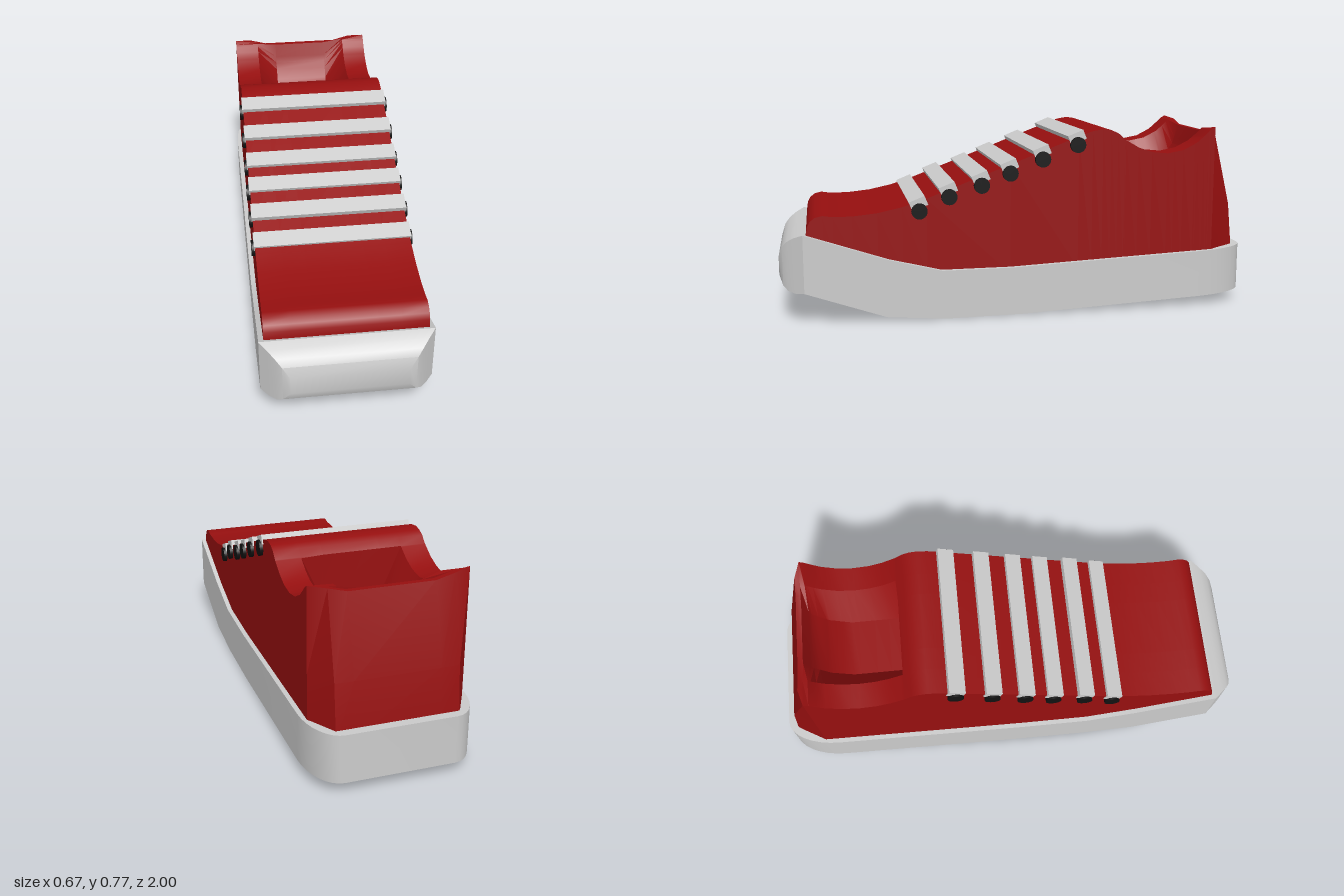
import * as THREE from 'three';
import { toCreasedNormals } from 'three/addons/utils/BufferGeometryUtils.js';

const grey = new THREE.MeshStandardMaterial({ color: 0xcccccc });
const red = new THREE.MeshStandardMaterial({ color: 0x960f0f, side: THREE.DoubleSide });
const black = new THREE.MeshStandardMaterial({ color: 0x111111 });

// Skin a list of equal-length closed rings, with optional flat end caps
function loft(rings, caps = true) {
  const pos = [];
  const tri = (a, b, c) => pos.push(...a, ...b, ...c);
  const n = rings[0].length;
  for (let r = 0; r < rings.length - 1; r++) {
    for (let i = 0; i < n; i++) {
      const j = (i + 1) % n, a = rings[r], b = rings[r + 1];
      tri(a[i], a[j], b[j]);
      tri(a[i], b[j], b[i]);
    }
  }
  if (caps) {
    const first = rings[0], last = rings[rings.length - 1];
    for (let i = 1; i < n - 1; i++) {
      tri(first[0], first[i + 1], first[i]);
      tri(last[0], last[i], last[i + 1]);
    }
  }
  const g = new THREE.BufferGeometry();
  g.setAttribute('position', new THREE.Float32BufferAttribute(pos, 3));
  return toCreasedNormals(g, 0.65);
}

// Piecewise linear lookup in [z, value] points sorted by z
function lookup(pts, z) {
  if (z <= pts[0][0]) return pts[0][1];
  for (let i = 1; i < pts.length; i++) {
    const [z0, v0] = pts[i - 1], [z1, v1] = pts[i];
    if (z <= z1) return v0 + (v1 - v0) * (z - z0) / (z1 - z0);
  }
  return pts[pts.length - 1][1];
}

const stations = (...lists) =>
  [...new Set(lists.flat().map((p) => p[0]))].sort((a, b) => a - b);

// Sole: top edge, bottom edge and half width along its length
const soleTop = [[-1, 0.25], [0.05, 0.205], [0.34, 0.205], [0.56, 0.26], [0.9, 0.375],
  [0.935, 0.36], [0.965, 0.34], [0.985, 0.315], [1, 0.27]];
const soleBottom = [[-1, 0.05], [0, 0.003], [0.33, 0], [0.57, 0.02], [0.9, 0.135],
  [0.935, 0.13], [0.965, 0.137], [0.985, 0.155], [1, 0.195]];
const soleWidth = [[0.9, 0.335], [0.935, 0.305], [0.965, 0.278], [0.985, 0.255], [1, 0.225]];
for (let i = 0; i <= 8; i++) {
  const a = (i / 8) * Math.PI / 2;
  soleWidth.splice(i, 0, [-0.78 - 0.22 * Math.cos(a), 0.22 + 0.115 * Math.sin(a)]);
}

function soleGeometry() {
  return loft(stations(soleTop, soleBottom, soleWidth).map((z) => {
    const w = lookup(soleWidth, z), t = lookup(soleTop, z), b = lookup(soleBottom, z);
    return [[-w, b, z], [w, b, z], [w, t, z], [-w, t, z]];
  }));
}

// Upper: top line, with the foot opening sunk into the middle columns
const topLine = [[-0.84, 0.775], [-0.82, 0.763], [-0.79, 0.735], [-0.76, 0.71], [-0.7, 0.68],
  [-0.63, 0.667], [-0.56, 0.674], [-0.5, 0.695], [-0.44, 0.73], [-0.41, 0.757], [-0.38, 0.77],
  [-0.345, 0.775], [-0.3, 0.768], [-0.24, 0.747], [0.05, 0.637], [0.4, 0.505], [0.5, 0.473],
  [0.6, 0.452], [0.7, 0.442], [0.78, 0.442], [0.82, 0.448], [0.85, 0.441], [0.87, 0.425],
  [0.882, 0.402], [0.887, 0.37]];
const floorLine = [[-0.84, 0.745], [-0.81, 0.66], [-0.75, 0.58], [-0.66, 0.53], [-0.445, 0.53], [-0.44, 0.73]];

function upperGeometry() {
  const cols = [0.315, 0.21, 0.12, -0.12, -0.21, -0.315];
  return loft(stations(topLine, floorLine).map((z) => {
    const base = lookup(soleTop, z) - 0.03, top = lookup(topLine, z);
    const sunk = z < -0.44 ? lookup(floorLine, z) : top;
    const edge = z < -0.83 ? top - 0.015 : top;
    const h = [top, edge, sunk, sunk, edge, top];
    return [[-0.315, base, z], [0.315, base, z], ...cols.map((x, i) => [x, h[i], z])];
  }));
}

// Heel: leaning back panel with chamfered corners and a slightly dipped rim
function heelGeometry() {
  const xs = [0.315, 0.245, 0.17, -0.17, -0.245, -0.315];
  const dip = [0, 0.01, 0.03, 0.03, 0.01, 0];
  const ring = (y, back, rim) => {
    const row = xs.map((x, i) => [x, rim ? y - dip[i] : y, i % 5 ? back : -0.84]);
    const front = row.slice(1, 5).reverse().map(([x, h]) => [x, h, -0.84]);
    return [...row, ...front];
  };
  return loft([ring(0.2, -0.965), ring(0.43, -0.942), ring(0.775, -0.862, true),
    ring(0.775, -0.84, true)], false);
}

export function createModel() {
  const group = new THREE.Group();
  const add = (name, geometry, material, parent = group) => {
    const mesh = new THREE.Mesh(geometry, material);
    mesh.name = name;
    parent.add(mesh);
    return mesh;
  };

  add('sole', soleGeometry(), grey);
  add('upper', upperGeometry(), red);
  add('heelPanel', heelGeometry(), red);

  // Laces: flat bars across the slope, with a round eyelet at each end
  const laceGeo = new THREE.BoxGeometry(0.64, 0.04, 0.07);
  const eyeletGeo = new THREE.CylinderGeometry(0.033, 0.033, 0.03, 24).rotateZ(Math.PI / 2);
  const rows = [[0.43, 0.455], [0.307, 0.51], [0.172, 0.553], [0.052, 0.6], [-0.085, 0.655], [-0.234, 0.712]];
  const laces = new THREE.Group();
  laces.name = 'laces';
  group.add(laces);
  for (const [z, y] of rows) {
    const lace = add('lace', laceGeo, grey, laces);
    lace.position.set(0, y + 0.031, z + 0.003);
    lace.rotation.x = 0.38;
    for (const side of [1, -1]) {
      add(side > 0 ? 'leftEyelet' : 'rightEyelet', eyeletGeo, black, laces)
        .position.set(side * 0.314, y, z);
    }
  }
  return group;
}
